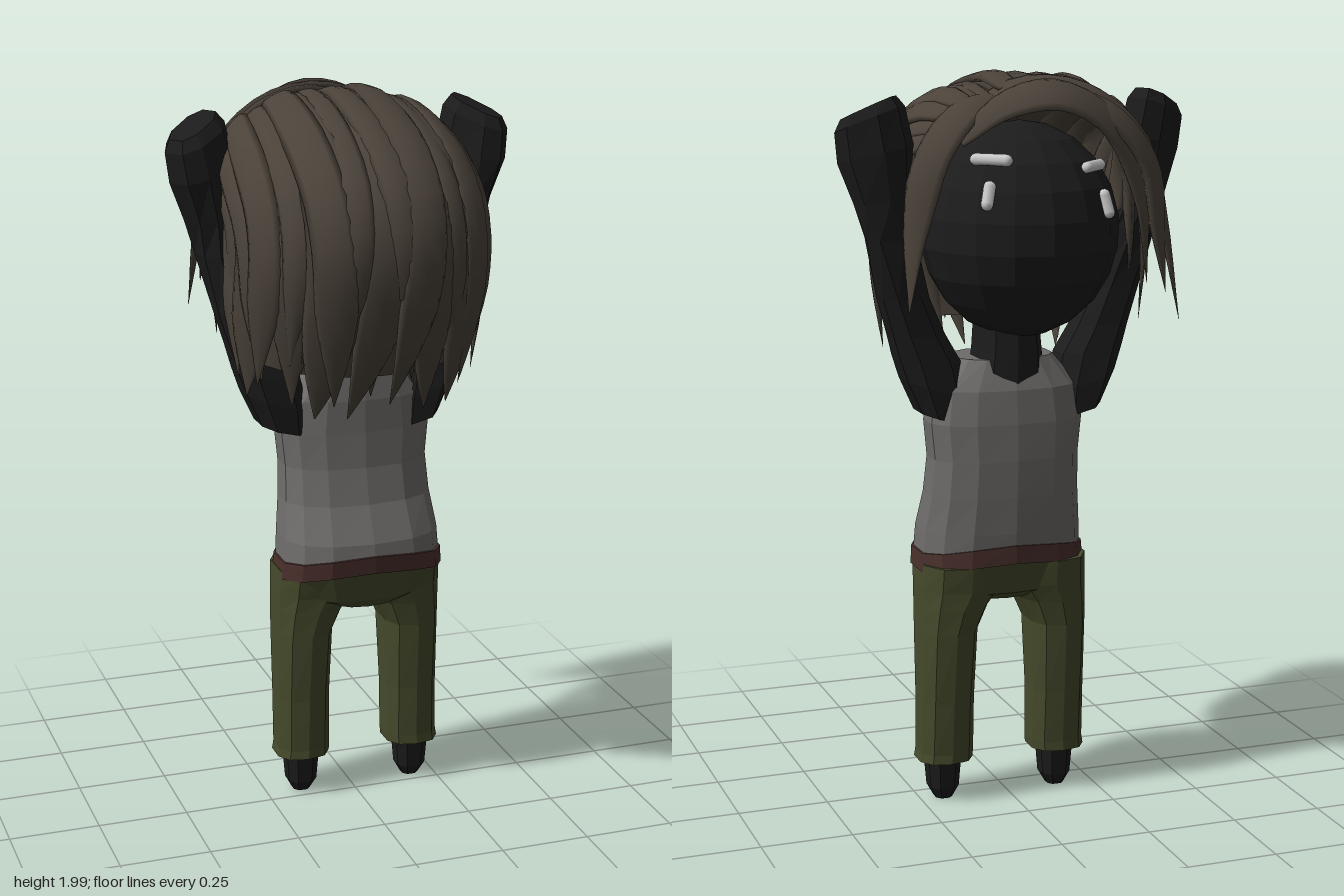
import * as THREE from 'three';

const V = (x, y, z) => new THREE.Vector3(x, y, z);
const mat = (color, flatShading = true) =>
  new THREE.MeshStandardMaterial({ color, flatShading, roughness: 0.9, side: THREE.DoubleSide });
const skin = mat(0x1c1c1c), shirt = mat(0x6f6d6b), olive = mat(0x454a2b), leather = mat(0x4a302c);
const hairMat = mat(0x4b433a, false), white = mat(0xdddddd, false);

// Joins a rows x cols grid of points (columns wrap when closed) and caps the ends
function skinGrid(rows, closed, caps) {
  const n = rows[0].length, pos = [], idx = [];
  rows.forEach(r => r.forEach(p => pos.push(p.x, p.y, p.z)));
  for (let j = 0; j < rows.length - 1; j++) {
    for (let i = 0; i < (closed ? n : n - 1); i++) {
      const a = j * n + i, b = j * n + (i + 1) % n;
      idx.push(a, a + n, b, b, a + n, b + n);
    }
  }
  if (caps) {
    [0, rows.length - 1].forEach(j => {
      const c = rows[j].reduce((s, p) => s.add(p), V(0, 0, 0)).divideScalar(n);
      const k = pos.length / 3;
      pos.push(c.x, c.y, c.z);
      for (let i = 0; i < n; i++) {
        const a = j * n + i, b = j * n + (i + 1) % n;
        j ? idx.push(k, b, a) : idx.push(k, a, b);
      }
    });
  }
  const g = new THREE.BufferGeometry();
  g.setAttribute('position', new THREE.Float32BufferAttribute(pos, 3));
  g.setIndex(idx);
  g.computeVertexNormals();
  return g;
}

// Upright loft; each ring is [y, xMin, xMax, zMin, zMax, tilt, bow, yaw]; power < 1 makes it boxier
function loft(rings, sides, power = 0.8) {
  const sp = v => Math.sign(v) * Math.pow(Math.abs(v), power);
  return skinGrid(rings.map(([y, x0, x1, z0, z1, tilt = 0, bow = 0, yaw = 0]) =>
    Array.from({ length: sides }, (_, i) => {
      const a = (i + 0.5) / sides * Math.PI * 2, u = sp(Math.cos(a));
      const offset = V(u * (x1 - x0) / 2, 0, sp(Math.sin(a)) * (z1 - z0) / 2);
      offset.y = tilt * offset.x + bow * (1 - u * u);
      return offset.applyAxisAngle(V(0, 1, 0), yaw).add(V((x0 + x1) / 2, y, (z0 + z1) / 2));
    })), true, true);
}

// Tapered lens-shaped lock of hair along a path, lying flat against the head
const hairCentre = V(0, 1.6, -0.03);
function lock(points, width, thick, startWidth = 0.55, taperFrom = 0.7) {
  const curve = new THREE.CatmullRomCurve3(points), steps = 18, rows = [];
  for (let j = 0; j <= steps; j++) {
    const t = j / steps, p = curve.getPoint(t), tan = curve.getTangent(t);
    const side = tan.clone().cross(p.clone().sub(hairCentre)).normalize();
    const out = side.clone().cross(tan).normalize();
    const grow = startWidth + (1 - startWidth) * Math.sin(Math.min(1, t / 0.4) * Math.PI / 2);
    const taper = Math.max(0, (t - taperFrom) / (1 - taperFrom));
    const k = grow * Math.max(0.02, 1 - taper ** 1.4);
    rows.push(Array.from({ length: 8 }, (_, i) => {
      const a = -i / 8 * Math.PI * 2;
      return p.clone().addScaledVector(side, Math.cos(a) * width * k)
        .addScaledVector(out, Math.sin(a) * thick * k);
    }));
  }
  return skinGrid(rows, true, true);
}

// Sweep of the hair mass: s runs from one side of the head to the other, t from crown to tip
const middle = new THREE.CatmullRomCurve3([V(0, 1.96, -0.23), V(0, 1.985, -0.1), V(0, 1.94, 0.1),
  V(0, 1.84, 0.3), V(0, 1.69, 0.385), V(0, 1.54, 0.375), V(0, 1.36, 0.31), V(0, 1.17, 0.21)]);
const flank = new THREE.CatmullRomCurve3([V(0.27, 1.84, -0.22), V(0.3, 1.82, -0.14), V(0.32, 1.77, -0.05),
  V(0.325, 1.7, 0.03), V(0.325, 1.6, 0.07), V(0.325, 1.5, 0.07), V(0.32, 1.38, 0.06), V(0.31, 1.23, 0.05)]);
function hairPoint(s, t, lift) {
  const m = middle.getPoint(t), f = flank.getPoint(t);
  const c = Math.cos(s * Math.PI / 2), sn = Math.sin(s * Math.PI / 2);
  const p = V(f.x * sn - 0.018, f.y + (m.y - f.y) * c, f.z + (m.z - f.z) * c);
  return p.addScaledVector(p.clone().sub(hairCentre).normalize(), lift);
}

export function createModel() {
  const model = new THREE.Group();
  const add = (name, geometry, material, parent = model) => {
    const m = new THREE.Mesh(geometry, material);
    m.name = name;
    parent.add(m);
    return m;
  };

  // Torso, belt and hips
  add('shirt', loft([
    [0.70, -0.21, 0.25, -0.2, 0.112, 0, 0.03], [0.78, -0.205, 0.245, -0.205, 0.105], [0.88, -0.193, 0.232, -0.21, 0.06],
    [0.98, -0.19, 0.225, -0.212, 0.04], [1.08, -0.2, 0.235, -0.21, 0.035], [1.17, -0.185, 0.22, -0.2, 0.035],
    [1.25, -0.12, 0.155, -0.17, 0.025]], 14), shirt);
  add('belt', loft([[0.668, -0.218, 0.258, -0.208, 0.114, 0, 0.03],
    [0.718, -0.214, 0.254, -0.208, 0.12, 0, 0.03]], 14), leather);
  add('hips', loft([[0.585, -0.08, 0.12, -0.14, 0.065], [0.61, -0.17, 0.21, -0.18, 0.085],
    [0.68, -0.215, 0.255, -0.203, 0.112, 0, 0.03]], 14), olive);

  // Legs and feet, mirrored about the body's middle
  const middleX = 0.018;
  for (const side of [1, -1]) {
    const name = side > 0 ? 'left' : 'right';
    const ring = (y, inner, outer, z0, z1) => {
      const a = middleX + side * inner, b = middleX + side * outer;
      return [y, Math.min(a, b), Math.max(a, b), z0, z1];
    };
    add(name + 'TrouserLeg', loft([
      ring(0.125, 0.086, 0.242, -0.138, 0.02), ring(0.15, 0.084, 0.238, -0.137, 0.018),
      ring(0.3, 0.084, 0.237, -0.15, 0.022), ring(0.5, 0.076, 0.238, -0.172, 0.042),
      ring(0.57, 0.045, 0.238, -0.18, 0.052), ring(0.62, 0.005, 0.238, -0.186, 0.062),
      ring(0.69, 0.005, 0.236, -0.196, 0.08)], 10), olive);
    add(name + 'Foot', loft([
      ring(0.008, 0.14, 0.19, -0.085, -0.03), ring(0.04, 0.122, 0.208, -0.1, -0.01),
      ring(0.15, 0.113, 0.217, -0.11, 0)], 8), skin);
  }

  // Raised arms with flattened mitten hands: [y, centre x, centre z, half width, half depth, tilt, yaw]
  const armRings = [
    [1.09, 0.19, -0.07, 0.065, 0.09, 0.25, 0], [1.17, 0.208, -0.075, 0.09, 0.092, 0.3, 0],
    [1.25, 0.23, -0.08, 0.09, 0.085, 0.1, 0], [1.32, 0.262, -0.088, 0.075, 0.076, 0, 0],
    [1.42, 0.3, -0.1, 0.067, 0.07, 0, 0], [1.58, 0.342, -0.13, 0.068, 0.066, 0, -0.2],
    [1.68, 0.366, -0.145, 0.074, 0.066, -0.1, -0.5], [1.8, 0.388, -0.16, 0.098, 0.07, -0.25, -0.6],
    [1.89, 0.405, -0.168, 0.09, 0.066, -0.4, -0.6], [1.92, 0.41, -0.172, 0.072, 0.047, -0.45, -0.6]];
  for (const side of [1, -1]) {
    const offset = side > 0 ? 0 : -0.005;
    add(side > 0 ? 'leftArm' : 'rightArm', loft(armRings.map(([y, x, z, rx, rz, tilt, yaw]) => {
      const cx = side * x + offset;
      const cz = z + (side > 0 ? 0 : 0.075 * (y - 1.09) / 0.83);
      return [y, cx - rx, cx + rx, cz - rz, cz + rz, side * tilt, 0, side * yaw];
    }), 8), skin);
  }

  // Neck and head
  add('neck', loft([[1.15, -0.09, 0.12, -0.195, -0.01], [1.27, -0.08, 0.1, -0.19, 0.0],
    [1.4, -0.07, 0.09, -0.18, 0.0]], 10), skin);
  const headCentre = V(-0.02, 1.588, -0.11), radius = 0.265, stretch = 1.08;
  const head = add('head', new THREE.SphereGeometry(radius, 16, 11), skin);
  head.position.copy(headCentre);
  head.scale.y = stretch;

  // Eyes and brows, resting on the face with a slight drop to one side
  const face = new THREE.Group();
  face.name = 'face';
  model.add(face);
  for (const side of [1, -1]) {
    const name = side > 0 ? 'left' : 'right';
    const drop = side > 0 ? 0 : -0.03;
    const place = (mesh, dir, roll) => {
      const reach = radius / Math.hypot(dir.x, dir.y / stretch, dir.z);
      mesh.position.copy(headCentre).addScaledVector(dir, reach);
      mesh.lookAt(headCentre.clone().addScaledVector(dir, 9));
      mesh.rotateZ(roll);
    };
    const eye = add(name + 'Eye', new THREE.CapsuleGeometry(0.017, 0.045, 4, 8), white, face);
    place(eye, V(side * 0.155 - 0.01, 0.106 + drop, -0.18), 0);
    const brow = add(name + 'Brow', new THREE.CapsuleGeometry(0.016, 0.085, 4, 8), white, face);
    place(brow, V(side * 0.145 - 0.01, 0.208 + drop, -0.15), Math.PI / 2);
  }

  // Hair: an inner shell covered by overlapping swept-back locks
  const hair = new THREE.Group();
  hair.name = 'hair';
  model.add(hair);
  const shell = Array.from({ length: 15 }, (_, j) =>
    Array.from({ length: 25 }, (_, i) => hairPoint((i / 24 * 2 - 1) * 1.25, j / 14 * 0.91, -0.018)));
  add('hairShell', skinGrid(shell, false, false), hairMat, hair);

  const layers = [
    { count: 17, spread: 1.25, lift: -0.008, width: 0.06, end: 0.99 },
    { count: 15, spread: 1.2, lift: 0.006, width: 0.048, end: 0.95 }];
  layers.forEach(({ count, spread, lift, width, end }, layer) => {
    for (let k = 0; k < count; k++) {
      const s = (k / (count - 1) * 2 - 1) * spread;
      const wave = Math.sin(k * 2.4 + layer * 1.7), stop = end + 0.04 * wave - 0.03 * layer;
      const sway = 0.16 * Math.sin(k * 3.7 + layer);
      const path = Array.from({ length: 9 }, (_, i) => {
        const t = i / 8;
        return hairPoint(s + sway * t * t * t, Math.min(1, t * stop), lift + 0.007 * wave);
      });
      add('backLock', lock(path, width * (1 + 0.2 * wave), 0.016, 0.55, 0.76), hairMat, hair);
    }
  });

  // Fringe swept across the brow, and locks hanging beside the face
  const fringe = [
    [[V(0.16, 1.9, -0.2), V(0.03, 1.965, -0.26), V(-0.14, 1.94, -0.3), V(-0.28, 1.82, -0.31),
      V(-0.34, 1.62, -0.32), V(-0.36, 1.37, -0.39)], 0.065],
    [[V(0.2, 1.84, -0.28), V(0.1, 1.93, -0.34), V(-0.03, 1.955, -0.37), V(-0.17, 1.88, -0.37),
      V(-0.25, 1.7, -0.38), V(-0.27, 1.47, -0.385)], 0.055],
    [[V(0.1, 1.94, -0.2), V(-0.08, 1.97, -0.23), V(-0.24, 1.89, -0.24), V(-0.32, 1.72, -0.23),
      V(-0.34, 1.54, -0.2), V(-0.34, 1.34, -0.17)], 0.07],
    [[V(0.02, 1.95, -0.3), V(-0.15, 1.92, -0.35), V(-0.28, 1.78, -0.36), V(-0.31, 1.6, -0.36),
      V(-0.33, 1.44, -0.37)], 0.05],
    [[V(0.05, 1.95, -0.22), V(0.18, 1.91, -0.26), V(0.27, 1.8, -0.27), V(0.31, 1.62, -0.25),
      V(0.33, 1.4, -0.25)], 0.055],
    [[V(0.1, 1.92, -0.2), V(0.24, 1.86, -0.2), V(0.3, 1.72, -0.17), V(0.31, 1.55, -0.13),
      V(0.3, 1.36, -0.09)], 0.075],
    [[V(-0.2, 1.9, -0.18), V(-0.29, 1.78, -0.16), V(-0.33, 1.6, -0.11), V(-0.33, 1.29, -0.07)], 0.08]];
  fringe.forEach(([path, width]) => add('fringeLock', lock(path, width, 0.016, 0.4, 0.6), hairMat, hair));

  return model;
}
